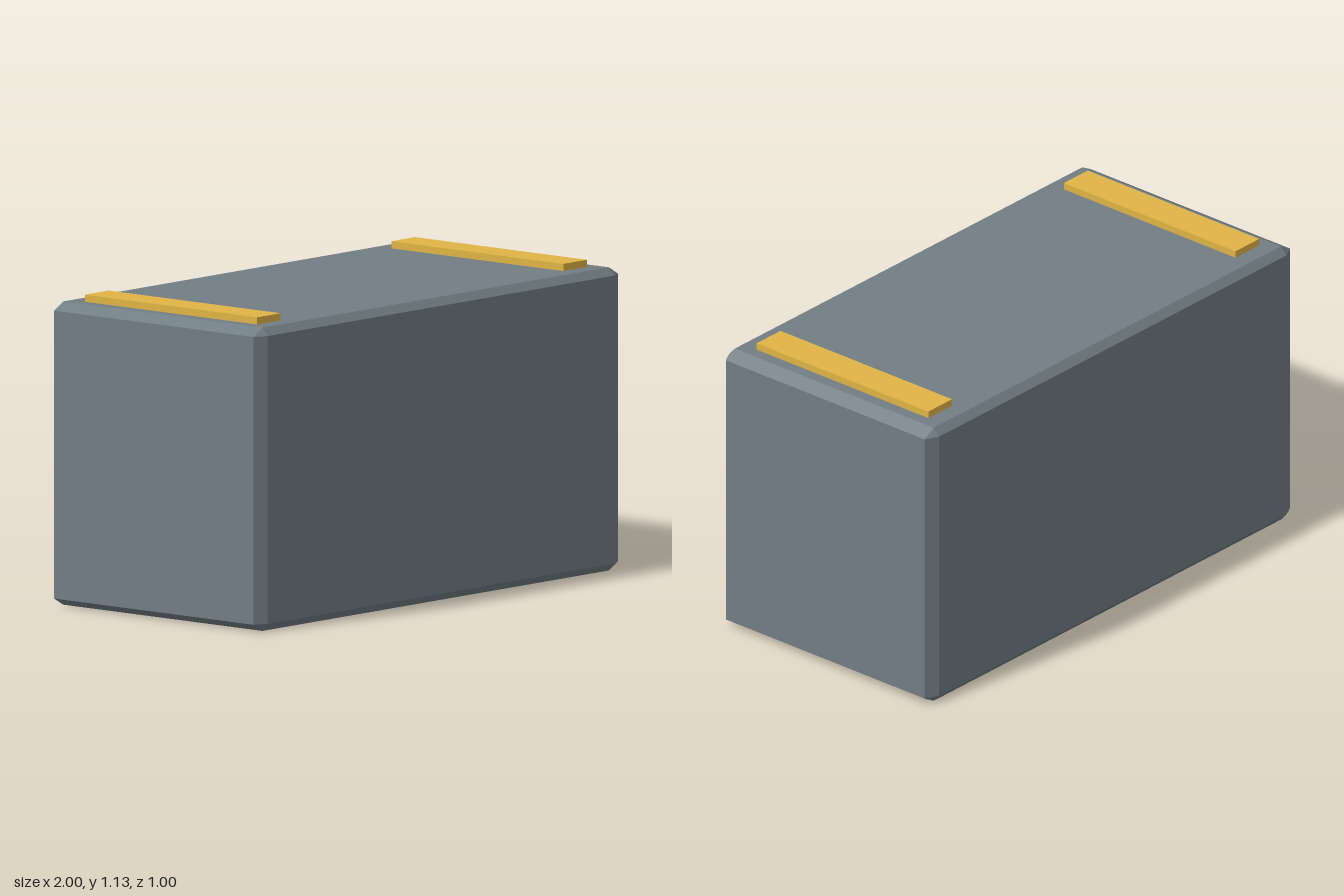
import * as THREE from 'three';
import { ConvexGeometry } from 'three/addons/geometries/ConvexGeometry.js';

// Box with chamfered edges: hull of the corners of its six inset faces
function chamferedBox(half, cut) {
  const points = [];
  for (let axis = 0; axis < 3; axis++)
    for (const sx of [-1, 1])
      for (const sy of [-1, 1])
        for (const sz of [-1, 1]) {
          const p = [sx, sy, sz].map((s, i) => s * (half[i] - (i === axis ? 0 : cut[i])));
          points.push(new THREE.Vector3(...p));
        }
  return new ConvexGeometry(points);
}

export function createModel() {
  const model = new THREE.Group();
  model.name = 'crate';
  const bodyMaterial = new THREE.MeshStandardMaterial({ color: 0x717d84, flatShading: true });
  const stripMaterial = new THREE.MeshStandardMaterial({ color: 0xe0b446, flatShading: true });

  // Chamfered block
  const height = 1.104;
  const body = new THREE.Mesh(
    chamferedBox([1, height / 2, 0.5], [0.05, 0.028, 0.025]), bodyMaterial);
  body.name = 'body';
  body.position.y = height / 2;
  model.add(body);

  // Strips lying across the top, one near each end
  const stripGeometry = new THREE.BoxGeometry(0.13, 0.026, 0.82);
  for (const side of [-1, 1]) {
    const strip = new THREE.Mesh(stripGeometry, stripMaterial);
    strip.name = side > 0 ? 'leftStrip' : 'rightStrip';
    strip.position.set(side * 0.84, height + 0.013, 0);
    model.add(strip);
  }
  return model;
}
